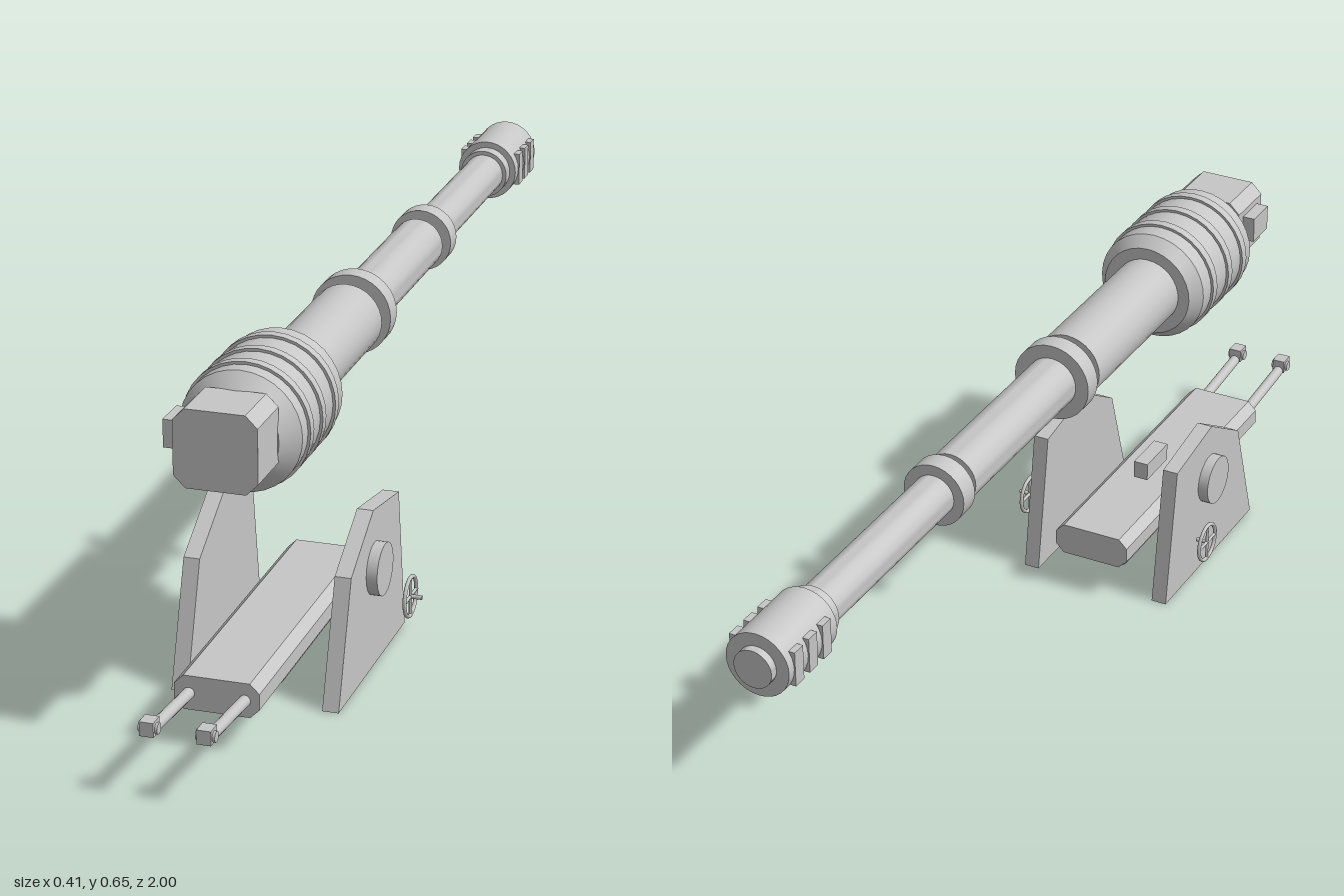
import * as THREE from 'three';
import { toCreasedNormals } from 'three/addons/utils/BufferGeometryUtils.js';

const AXIS_Y = 0.538; // height of the barrel axis
const BASE_X = -0.01; // centre line of the mount

export function createModel() {
  const model = new THREE.Group();
  model.name = 'fieldCannon';
  const steel = new THREE.MeshStandardMaterial({ color: 0xc6c6c6 });
  steel.name = 'light steel grey';

  const add = (name, geometry, x = 0, y = 0, z = 0, parent = model) => {
    const mesh = new THREE.Mesh(geometry, steel);
    mesh.name = name;
    mesh.position.set(x, y, z);
    parent.add(mesh);
    return mesh;
  };
  const box = (w, h, d) => new THREE.BoxGeometry(w, h, d);
  const cylX = (r, len, seg = 32) => new THREE.CylinderGeometry(r, r, len, seg).rotateZ(Math.PI / 2);
  const cylZ = (r, len, seg = 32) => new THREE.CylinderGeometry(r, r, len, seg).rotateX(Math.PI / 2);

  // Lathe along the barrel axis from [z, radius] pairs, ordered towards the muzzle
  const turned = (profile) => {
    const pts = profile.map(([z, r]) => new THREE.Vector2(r, -z));
    return toCreasedNormals(new THREE.LatheGeometry(pts, 32).rotateX(-Math.PI / 2), 0.5);
  };

  // Block with four chamfered long edges, running along z
  const chamferedBlock = (w, h, d, c) => {
    const a = w / 2, b = h / 2;
    const outline = [[-a, -b + c], [-a + c, -b], [a - c, -b], [a, -b + c],
      [a, b - c], [a - c, b], [-a + c, b], [-a, b - c]];
    const shape = new THREE.Shape(outline.map(([x, y]) => new THREE.Vector2(x, y)));
    return new THREE.ExtrudeGeometry(shape, { depth: d, bevelEnabled: false }).translate(0, 0, -d / 2);
  };

  // Gun: breech, recoil drum and stepped barrel
  const gun = new THREE.Group();
  gun.name = 'gun';
  gun.position.y = AXIS_Y;
  model.add(gun);

  add('breechBlock', chamferedBlock(0.148, 0.14, 0.105, 0.021), 0.001, 0.012, 0.7655, gun);
  add('breechLatch', box(0.024, 0.05, 0.065), -0.086, 0.025, 0.763, gun);
  add('recoilDrum', turned([[0.72, 0], [0.72, 0.078], [0.69, 0.109], [0.475, 0.109], [0.45, 0.09], [0.45, 0]]), 0, 0, 0, gun);
  for (const z of [0.653, 0.588, 0.519]) add('drumRib', cylZ(0.114, 0.018), 0, 0, z, gun);

  add('barrel', turned([
    [0.46, 0], [0.46, 0.067], [0.113, 0.067], [0.113, 0.05],
    [-0.335, 0.05], [-0.335, 0.04], [-0.81, 0.04], [-0.81, 0],
  ]), 0, 0, 0, gun);
  add('rearCollar', cylZ(0.076, 0.038), 0, 0, 0.069, gun);
  add('frontCollar', cylZ(0.06, 0.04), 0, 0, -0.377, gun);
  add('muzzleBrake', turned([
    [-0.805, 0], [-0.805, 0.048], [-0.832, 0.048], [-0.832, 0.06],
    [-0.985, 0.06], [-0.985, 0.036], [-1.0, 0.036], [-1.0, 0],
  ]), 0, 0, 0, gun);
  for (const side of [-1, 1]) {
    for (const z of [-0.868, -0.912, -0.956]) add('muzzleVent', box(0.022, 0.065, 0.026), side * 0.051, 0, z, gun);
  }

  // Side plates with trunnion caps and handwheels
  const plateShape = new THREE.Shape([[0.61, 0], [0.537, 0.224], [0.41, 0.3], [0.257, 0.275], [0.217, 0]]
    .map(([z, y]) => new THREE.Vector2(z, y)));
  const plate = new THREE.ExtrudeGeometry(plateShape, { depth: 0.03, bevelEnabled: false })
    .rotateY(-Math.PI / 2).translate(0.015, 0, 0);

  for (const side of [-1, 1]) {
    const label = side > 0 ? 'left' : 'right';
    add(label + 'SidePlate', plate, BASE_X + side * 0.139, 0, 0);
    add(label + 'TrunnionCap', cylX(0.0485, 0.03), BASE_X + side * 0.159, 0.188, 0.403);

    const wheel = new THREE.Group();
    wheel.name = label + 'Handwheel';
    wheel.position.set(BASE_X + side * 0.194, 0.1, 0.315);
    model.add(wheel);
    add('rim', new THREE.TorusGeometry(0.0365, 0.0038, 8, 32).rotateY(Math.PI / 2), 0, 0, 0, wheel);
    add('spokeUpright', new THREE.CylinderGeometry(0.003, 0.003, 0.073, 8), 0, 0, 0, wheel);
    add('spokeLevel', cylZ(0.003, 0.073, 8), 0, 0, 0, wheel);
    // both shafts point the same way
    add('shaft', cylX(0.004, 0.023, 12), 0.0105, 0, 0, wheel);
  }
  add('sightBox', box(0.028, 0.034, 0.087), -0.109, 0.292, 0.253);

  // Cradle bed with two recoil tubes sunk into its underside
  add('cradleBed', chamferedBlock(0.153, 0.063, 0.6, 0.017), BASE_X, 0.0985, 0.5);
  for (const side of [-1, 1]) {
    const x = BASE_X + side * 0.05;
    add('recoilTube', cylZ(0.021, 0.43, 24), x, 0.08, 0.435);

    // Trailing rod rising to its end block
    const path = new THREE.LineCurve3(new THREE.Vector3(x, 0.097, 0.79), new THREE.Vector3(x, 0.114, 0.98));
    add('trailRod', new THREE.TubeGeometry(path, 1, 0.0105, 16));
    add('rodEndBlock', box(0.025, 0.026, 0.029), x, 0.124, 0.9855);
    add('rodEndPin', cylX(0.01, 0.034, 12), x, 0.122, 0.985);
  }
  return model;
}
